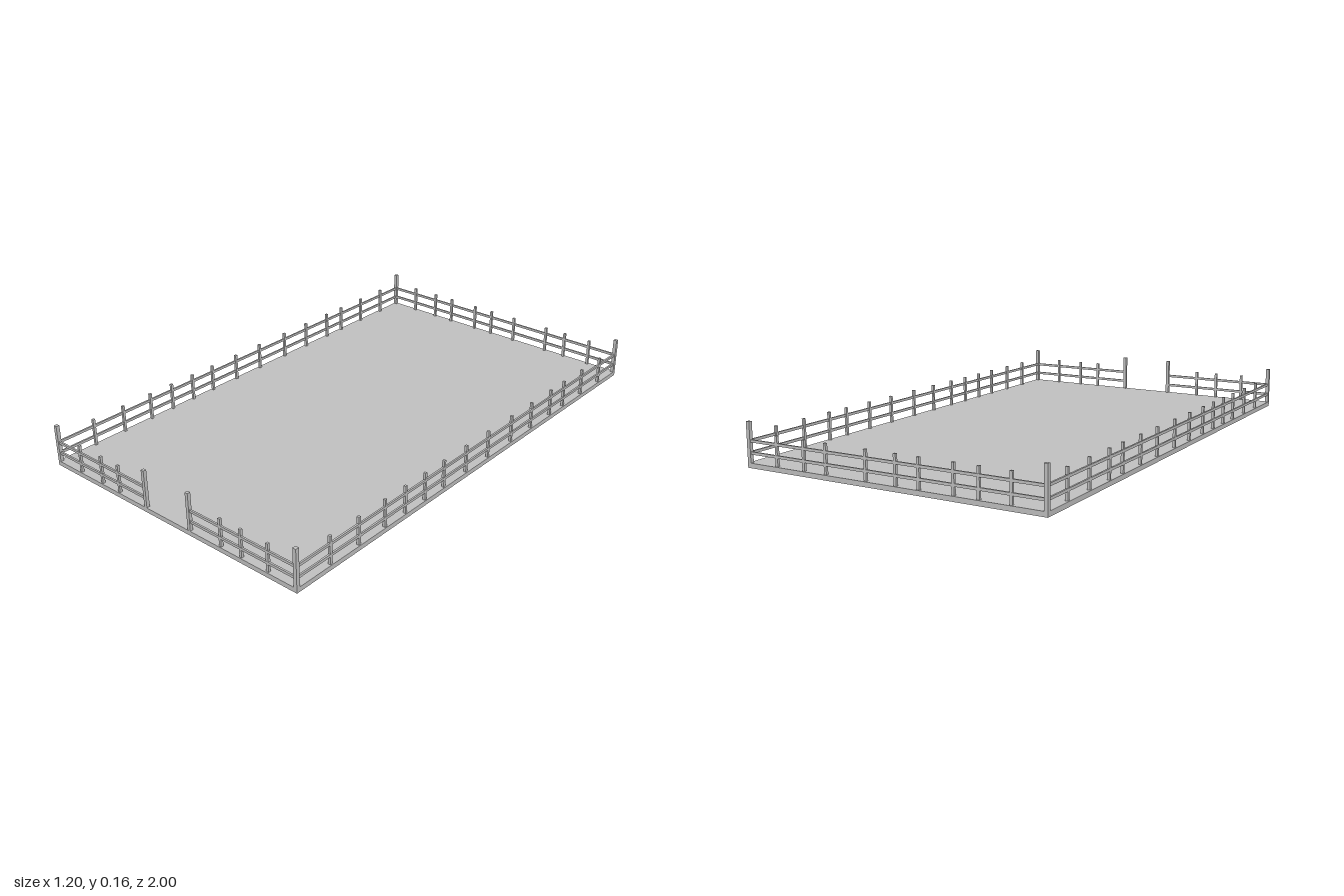
import * as THREE from 'three';

export function createModel() {
  const model = new THREE.Group();
  const grey = new THREE.MeshStandardMaterial({ color: 0xc0c0c0 });
  grey.name = 'light grey';

  function box(parent, name, w, h, d, x, y, z) {
    const mesh = new THREE.Mesh(new THREE.BoxGeometry(w, h, d), grey);
    mesh.name = name;
    mesh.position.set(x, y, z);
    parent.add(mesh);
  }

  const baseH = 0.018, edgeX = 0.593, edgeZ = 0.993;
  const tall = 0.165, short = 0.126, gateX = 0.11;
  const railHeights = [0.053, 0.096];

  function post(parent, name, x, z, top, size) {
    box(parent, name, size, top - 0.005, size, x, (top + 0.005) / 2, z);
  }

  // Ground slab
  box(model, 'groundSlab', 1.2, baseH, 2, 0, baseH / 2, 0);

  // Long side fences
  const sidePosts = [0.835, 0.695, 0.56, 0.45, 0.34, 0.23, 0.095, -0.045, -0.2, -0.34, -0.48, -0.58, -0.72, -0.865];
  for (const side of [1, -1]) {
    const fence = new THREE.Group();
    fence.name = side > 0 ? 'leftFence' : 'rightFence';
    for (const y of railHeights) box(fence, 'rail', 0.007, 0.01, edgeZ * 2, side * edgeX, y, 0);
    for (const z of sidePosts) post(fence, 'fencePost', side * (edgeX - 0.002), z, short, 0.01);
    for (const z of [edgeZ, -edgeZ]) post(fence, 'cornerPost', side * edgeX, z, tall, 0.014);
    model.add(fence);
  }

  // Back fence
  const back = new THREE.Group();
  back.name = 'backFence';
  for (const y of railHeights) box(back, 'rail', edgeX * 2, 0.01, 0.007, 0, y, -edgeZ);
  for (const x of [-0.47, -0.352, -0.258, -0.125, -0.034, 0.087, 0.255, 0.35, 0.47]) {
    post(back, 'fencePost', x, -edgeZ + 0.002, short, 0.01);
  }
  model.add(back);

  // Front fence in two halves with an open gateway
  for (const side of [1, -1]) {
    const half = new THREE.Group();
    half.name = side > 0 ? 'frontFenceLeft' : 'frontFenceRight';
    for (const y of railHeights) {
      box(half, 'rail', edgeX - gateX, 0.01, 0.007, side * (edgeX + gateX) / 2, y, edgeZ);
    }
    for (const x of [0.256, 0.35, 0.47]) post(half, 'fencePost', side * x, edgeZ - 0.002, short, 0.01);
    post(half, 'gatePost', side * gateX, edgeZ, tall, 0.013);
    model.add(half);
  }
  return model;
}
